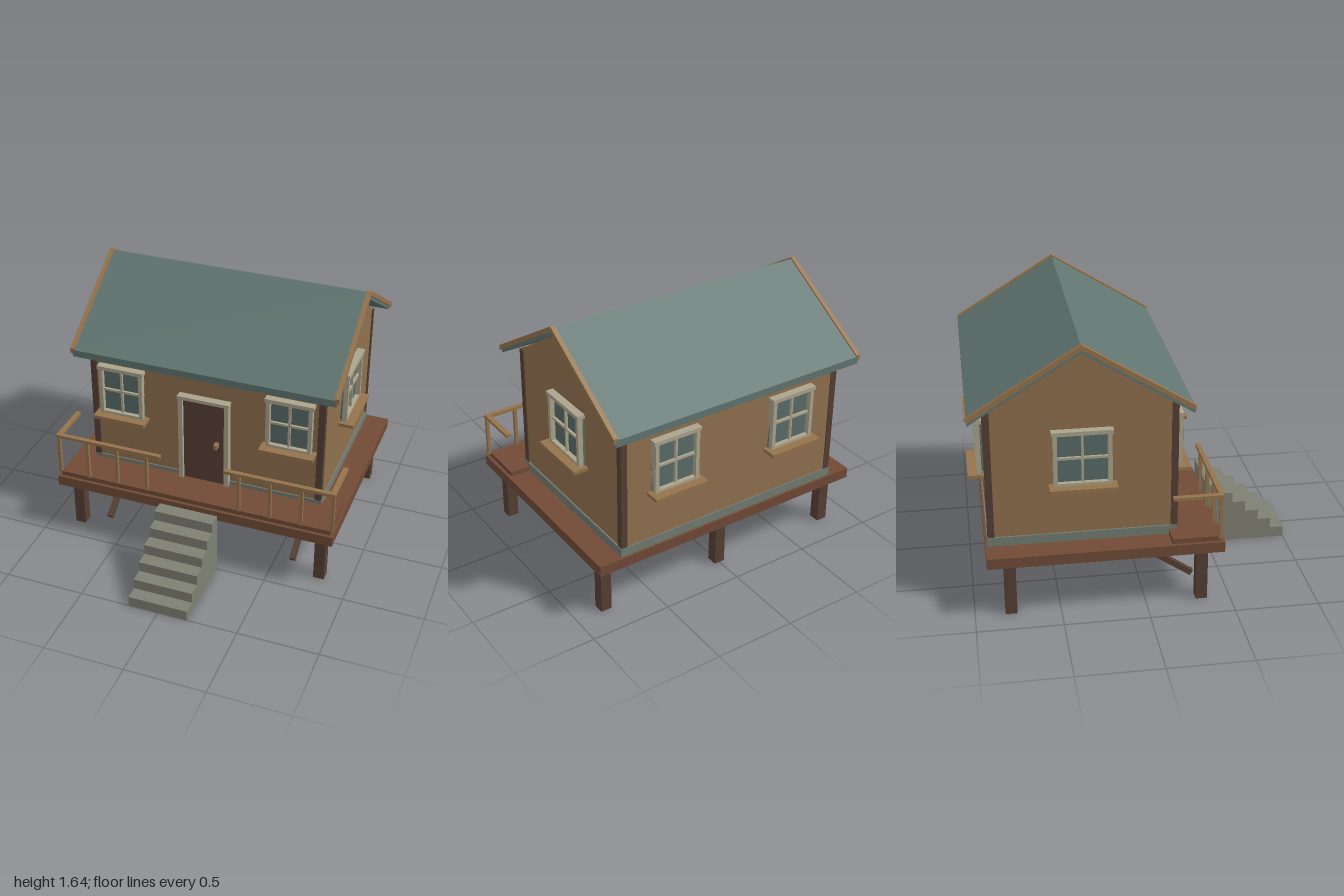
import * as THREE from 'three';

const mat = (name, color) => {
  const m = new THREE.MeshStandardMaterial({ color });
  m.name = name;
  return m;
};

export function createModel() {
  const M = {
    wall: mat('wall timber', 0x8f704e),
    trim: mat('trim timber', 0x94734c),
    dark: mat('dark timber', 0x553f34),
    deck: mat('deck timber', 0x704a36),
    roof: mat('teal roofing', 0x5f7470),
    glass: mat('window glass', 0x596c68),
    frame: mat('pale frame paint', 0xaba38c),
    skirt: mat('grey skirting', 0x727b70),
    stone: mat('concrete', 0x7f8073),
  };
  const house = new THREE.Group();
  house.name = 'cabin';

  // Box given by its minimum and maximum on each axis
  const box = (name, m, x0, x1, y0, y1, z0, z1, parent = house) => {
    const mesh = new THREE.Mesh(new THREE.BoxGeometry(x1 - x0, y1 - y0, z1 - z0), m);
    mesh.position.set((x0 + x1) / 2, (y0 + y1) / 2, (z0 + z1) / 2);
    mesh.name = name;
    parent.add(mesh);
    return mesh;
  };
  // Side profile of [z, y] points, extruded along x
  const profile = (name, m, pts, x0, x1) => {
    const shape = new THREE.Shape(pts.map(([z, y]) => new THREE.Vector2(-z, y)));
    const geo = new THREE.ExtrudeGeometry(shape, { depth: x1 - x0, bevelEnabled: false });
    geo.rotateY(Math.PI / 2).translate(x0, 0, 0);
    const mesh = new THREE.Mesh(geo, m);
    mesh.name = name;
    house.add(mesh);
    return mesh;
  };

  const mid = -0.36; // z of the ridge

  // Deck, porch boards and legs
  box('deck', M.deck, -0.9, 0.9, 0.34, 0.405, -0.92, 0.45);
  box('porchFloor', M.deck, -0.88, 0.88, 0.405, 0.435, 0.145, 0.43);
  for (const x of [-0.807, 0, 0.807])
    for (const z of [0.33, -0.79])
      box('leg', M.dark, x - 0.034, x + 0.034, 0, 0.34, z - 0.034, z + 0.034);

  // Slanted braces under the deck
  for (const s of [-1, 1]) {
    const dz = -0.42, dy = 0.285;
    const brace = new THREE.Mesh(new THREE.BoxGeometry(0.035, 0.035, Math.hypot(dz, dy)), M.dark);
    brace.position.set(s * 0.62, 0.195, 0.1);
    brace.rotation.x = Math.atan2(dy, -dz);
    brace.name = 'brace';
    house.add(brace);
  }

  // Stairs
  const steps = 6, run = 0.085, rise = 0.0675;
  const stair = [[0.49, 0], [1, 0]];
  for (let i = 0; i < steps; i++)
    stair.push([1 - i * run, (i + 1) * rise], [1 - (i + 1) * run, (i + 1) * rise]);
  profile('stairs', M.stone, stair, -0.187, 0.187);

  // Walls with gables, skirting and corner posts
  profile('walls', M.wall,
    [[0.188, 0.405], [0.188, 1.232], [mid, 1.6], [-0.9, 1.232], [-0.9, 0.405]], -0.745, 0.745);
  box('skirting', M.skirt, -0.755, 0.755, 0.405, 0.46, -0.908, 0.196);
  for (const s of [-1, 1])
    for (const z of [0.176, -0.885])
      box('cornerPost', M.dark, s * 0.731 - 0.02, s * 0.731 + 0.02, 0.46, 1.235, z - 0.02, z + 0.02);

  // Roof and rake boards share a chevron profile
  const chevron = (eave, ridge, t) => [
    [mid + 0.63, eave], [mid, ridge], [mid - 0.63, eave],
    [mid - 0.63, eave - t], [mid, ridge - t], [mid + 0.63, eave - t]];
  profile('roof', M.roof, chevron(1.242, 1.63, 0.044), -0.83, 0.83);
  for (const s of [-1, 1])
    profile('rakeBoard', M.trim, chevron(1.252, 1.64, 0.032), s * 0.831 - 0.014, s * 0.831 + 0.014);

  // Door
  box('doorPanel', M.dark, -0.136, 0.136, 0.436, 1.02, 0.18, 0.21);
  for (const s of [-1, 1])
    box('doorJamb', M.frame, s * 0.149 - 0.014, s * 0.149 + 0.014, 0.436, 1.02, 0.18, 0.232);
  box('doorHeader', M.frame, -0.166, 0.166, 1.018, 1.04, 0.18, 0.238);
  box('doorHandle', M.trim, 0.074, 0.096, 0.71, 0.743, 0.2, 0.25);

  // Window facing +z; its origin is on the wall, at the sill top
  const addWindow = (name, w, x, y, z, turn) => {
    const g = new THREE.Group();
    g.name = name;
    const h = 0.335, a = w / 2;
    box('pane', M.glass, -a, a, 0, h - 0.01, 0, 0.012, g);
    for (const s of [-1, 1])
      box('frameSide', M.frame, s * (a - 0.012) - 0.012, s * (a - 0.012) + 0.012, 0, h - 0.02, 0, 0.042, g);
    box('frameTop', M.frame, -a - 0.008, a + 0.008, h - 0.024, h, 0, 0.047, g);
    box('frameBottom', M.frame, -a, a, 0, 0.016, 0, 0.04, g);
    box('uprightBar', M.frame, -0.007, 0.007, 0, h - 0.02, 0, 0.028, g);
    box('crossBar', M.frame, -a, a, 0.157, 0.171, 0, 0.028, g);
    box('sill', M.trim, -a - 0.027, a + 0.027, -0.022, 0, 0, 0.093, g);
    g.position.set(x, y, z);
    g.rotation.y = turn;
    house.add(g);
  };
  for (const s of [-1, 1]) {
    addWindow('frontWindow', 0.286, s * 0.54, 0.806, 0.19, 0);
    addWindow('backWindow', 0.294, s * 0.405, 0.776, -0.902, Math.PI);
  }
  addWindow('leftWindow', 0.335, 0.745, 0.806, -0.355, Math.PI / 2);
  addWindow('rightWindow', 0.335, -0.747, 0.776, -0.355, -Math.PI / 2);

  // Porch railings
  for (const s of [-1, 1]) {
    const span = (name, a, b, y0, y1, z0, z1) =>
      box(name, M.trim, Math.min(s * a, s * b), Math.max(s * a, s * b), y0, y1, z0, z1);
    span('frontRail', 0.205, 0.9, 0.69, 0.71, 0.408, 0.436);
    span('sideRail', 0.867, 0.899, 0.6905, 0.7095, 0.145, 0.43);
    for (const x of [0.3, 0.497, 0.694, 0.888])
      span('baluster', x - 0.01, x + 0.01, 0.43, 0.69, 0.412, 0.432);
  }

  return house;
}
